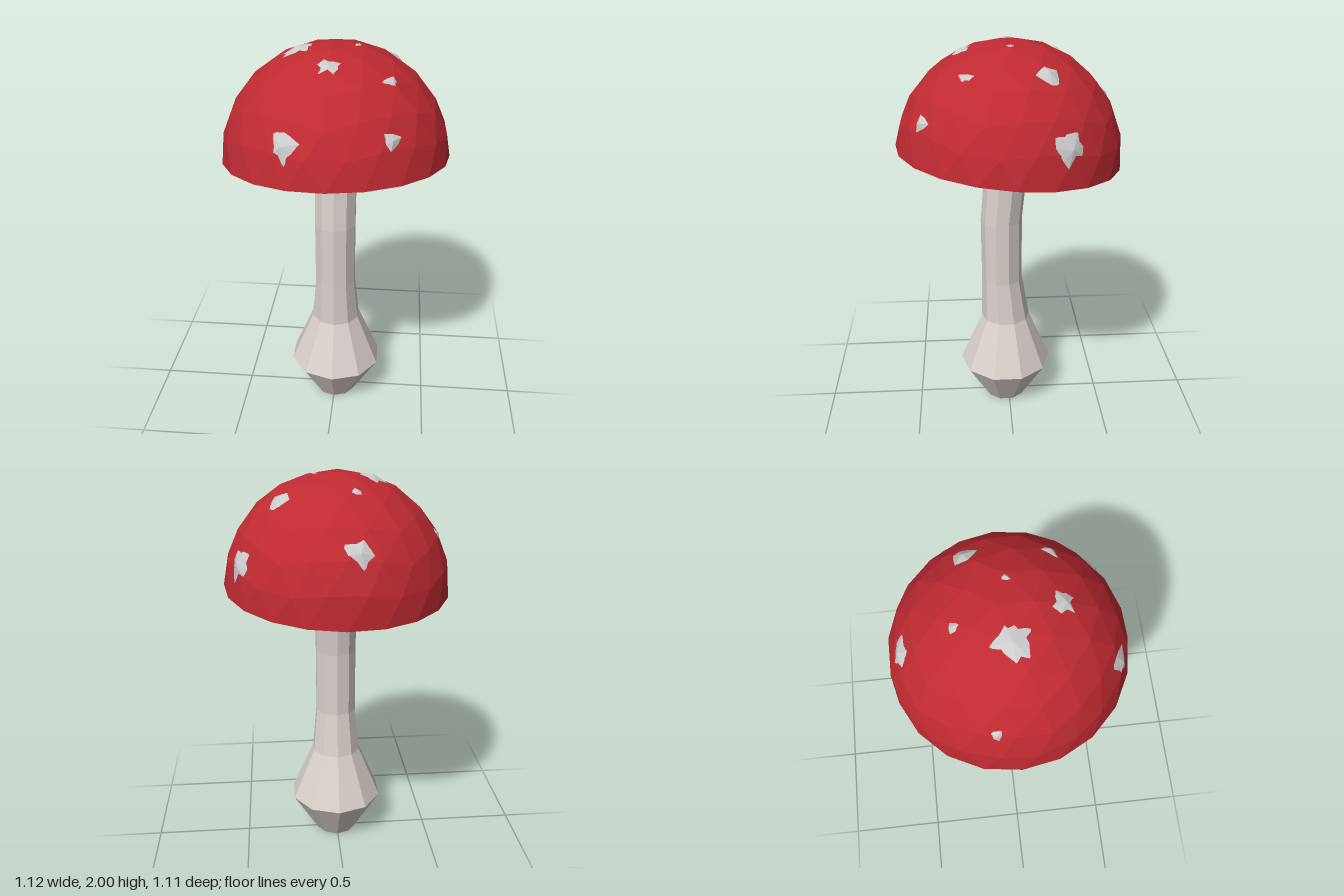
import * as THREE from 'three';

const CAP_R = 0.558, CAP_Y = 1.442;

const material = (color) => new THREE.MeshStandardMaterial({ color, flatShading: true });

function mesh(name, geometry, mat) {
  const m = new THREE.Mesh(geometry, mat);
  m.name = name;
  return m;
}

function fromPoints(points) {
  const g = new THREE.BufferGeometry().setFromPoints(points);
  g.computeVertexNormals();
  return g;
}

// Ten-sided loft through rings of [height, z offset, radius]
function stemGeometry() {
  const rings = [
    [0, 0.018, 0.109], [0.23, 0.018, 0.247], [0.507, 0.016, 0.129],
    [0.74, 0.035, 0.107], [1.08, 0.037, 0.107], [1.48, 0.002, 0.109], [1.6, -0.008, 0.109],
  ];
  const sides = 10, pts = [];
  const at = ([y, z, r], i) => {
    const a = (i / sides) * Math.PI * 2;
    return new THREE.Vector3(Math.sin(a) * r + 0.002, y, z + Math.cos(a) * r);
  };
  const base = new THREE.Vector3(0, 0, rings[0][1]);
  for (let i = 0; i < sides; i++) {
    pts.push(base, at(rings[0], i + 1), at(rings[0], i));
    for (let k = 0; k < rings.length - 1; k++) {
      const a = at(rings[k], i), b = at(rings[k], i + 1);
      const c = at(rings[k + 1], i + 1), d = at(rings[k + 1], i);
      pts.push(a, b, c, a, c, d);
    }
  }
  return fromPoints(pts);
}

// Upper half of a twice-divided icosahedron standing on one corner
function domeGeometry() {
  const once = new THREE.IcosahedronGeometry(1, 1).attributes.position;
  const sphere = new THREE.PolyhedronGeometry(
    Array.from(once.array), Array.from({ length: once.count }, (_, i) => i), CAP_R, 1);
  sphere.rotateX(-Math.atan((1 + Math.sqrt(5)) / 2));
  const p = sphere.attributes.position, pts = [];
  for (let i = 0; i < p.count; i += 3) {
    const tri = [0, 1, 2].map((k) => new THREE.Vector3().fromBufferAttribute(p, i + k));
    if (tri.every((v) => v.y > -1e-4)) pts.push(...tri);
  }
  return fromPoints(pts);
}

// Shallow hollow rising from the rim towards the stem
function undersideGeometry() {
  const g = new THREE.CircleGeometry(CAP_R, 20).rotateX(Math.PI / 2);
  g.attributes.position.setY(0, 0.082);
  return g;
}

function seeded(seed) {
  let s = seed * 7919 + 17;
  return () => (s = (s * 16807) % 2147483647) / 2147483647;
}

// Ragged, slightly peaked patch whose edge sinks into the dome
function spotGeometry(x, z, size, seed) {
  const rand = seeded(seed);
  rand();
  const normal = new THREE.Vector3(x, Math.sqrt(CAP_R * CAP_R - x * x - z * z), z).normalize();
  const u = new THREE.Vector3(0, 1, 0).cross(normal).normalize();
  const v = normal.clone().cross(u);
  const n = size > 0.05 ? 9 : 6, start = rand() * 6;
  const rim = Array.from({ length: n }, (_, i) => {
    const a = start + ((i + rand() * 0.4) / n) * Math.PI * 2;
    const r = size * (i % 2 ? 0.72 : 1) * (0.95 + rand() * 0.28);
    return normal.clone().multiplyScalar(CAP_R)
      .addScaledVector(u, Math.cos(a) * r).addScaledVector(v, Math.sin(a) * r)
      .setLength(CAP_R - 0.007);
  });
  const peak = normal.clone().multiplyScalar(CAP_R + 0.002 + size * 0.07);
  return fromPoints(rim.flatMap((d, i) => [peak, d, rim[(i + 1) % n]]));
}

export function createModel() {
  const model = new THREE.Group();
  model.name = 'mushroom';
  model.add(mesh('stem', stemGeometry(), material(0xdad1cc)));

  // Cap: faceted dome with a hollowed underside, tipped up at the front
  const red = material(0xc02a32);
  const cap = new THREE.Group();
  cap.name = 'cap';
  cap.add(mesh('dome', domeGeometry(), red), mesh('underside', undersideGeometry(), red));
  cap.position.y = CAP_Y;
  cap.rotation.set(-0.09, 0, 0.027);
  model.add(cap);

  // Spots: x, z, size
  const spots = new THREE.Group();
  spots.name = 'spots';
  spots.position.y = CAP_Y;
  const grey = material(0xcccccc);
  [
    [-0.172, -0.003, 0.085], [-0.065, -0.48, 0.07], [-0.07, -0.235, 0.027], [0.275, -0.165, 0.058],
    [0.47, -0.25, 0.085], [-0.476, -0.1, 0.033], [0.108, -0.003, 0.027], [-0.012, 0.232, 0.057],
    [0.272, 0.207, 0.046], [0.283, 0.415, 0.047], [-0.19, 0.475, 0.074],
  ].forEach(([x, z, size], i) => spots.add(mesh('spot', spotGeometry(x, z, size, i + 1), grey)));
  model.add(spots);
  return model;
}
